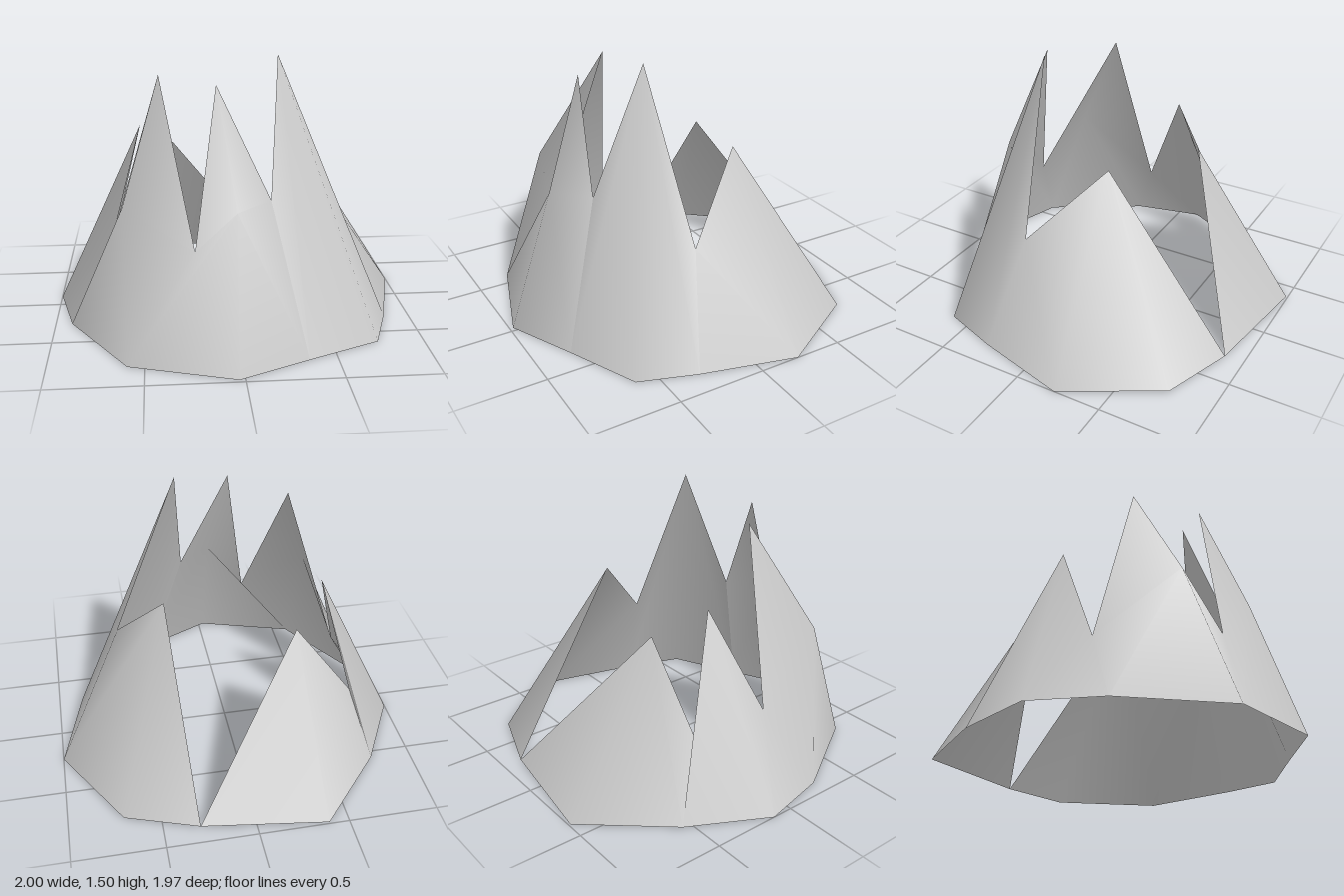
import * as THREE from 'three';

// Foot of the wall on the ground (x, z), going round the ring
const foot = [
  [-0.39, -0.99], [0.30, -0.89], [0.70, -0.75], [1.0, -0.23], [0.86, 0.30], [0.75, 0.62],
  [0.35, 0.80], [-0.03, 0.98], [-0.59, 0.80], [-0.91, 0.27], [-1.0, -0.12], [-0.77, -0.55],
].map(([x, z]) => [x, 0, z]);

// Jagged rim: peaks and notches in the same order (points 12 to 22)
const rim = [
  [0.37, 1.0, -0.20], [0.61, 0.59, 0.18], [0.23, 1.505, 0.27], [0.17, 0.79, 0.55],
  [-0.11, 1.385, 0.48], [-0.23, 0.54, 0.62], [-0.40, 1.39, 0.19], [-0.68, 0.43, 0.08],
  [-0.51, 1.035, -0.18], [-0.66, 0.39, -0.37], [-0.32, 0.875, -0.40],
];

// Bulges on the faces of the two front peaks (points 23 and 24)
const bulges = [[-0.02, 0.78, 0.72], [-0.60, 0.76, 0.53]];

const points = [...foot, ...rim, ...bulges];

// Each wall is a set of fans: [apex, path of points round it]
const walls = {
  leftWall: [
    [12, [1, 2, 3, 13]],
    [13, [3, 4]],
    [14, [13, 4, 5, 6, 15]],
  ],
  frontWall: [
    [23, [15, 6, 7, 8, 17, 16, 15]],
    [24, [17, 8, 9, 19, 18, 17]],
    [19, [9, 10]],
    [20, [19, 10, 11, 21]],
  ],
  backWall: [
    [22, [21, 11, 0, 1]],
  ],
};

// Smooth surface from fans, with its own normals so that wall joints stay sharp
function fanGeometry(fans) {
  const index = [];
  for (const [apex, path] of fans) {
    for (let i = 0; i < path.length - 1; i++) index.push(apex, path[i + 1], path[i]);
  }
  const geometry = new THREE.BufferGeometry();
  geometry.setAttribute('position', new THREE.Float32BufferAttribute(points.flat(), 3));
  geometry.setIndex(index);
  geometry.computeVertexNormals();
  return geometry;
}

export function createModel() {
  const group = new THREE.Group();
  group.name = 'jaggedMountainRing';
  const material = new THREE.MeshStandardMaterial({ color: 0xcccccc, side: THREE.DoubleSide });
  for (const [name, fans] of Object.entries(walls)) {
    const mesh = new THREE.Mesh(fanGeometry(fans), material);
    mesh.name = name;
    group.add(mesh);
  }
  return group;
}
